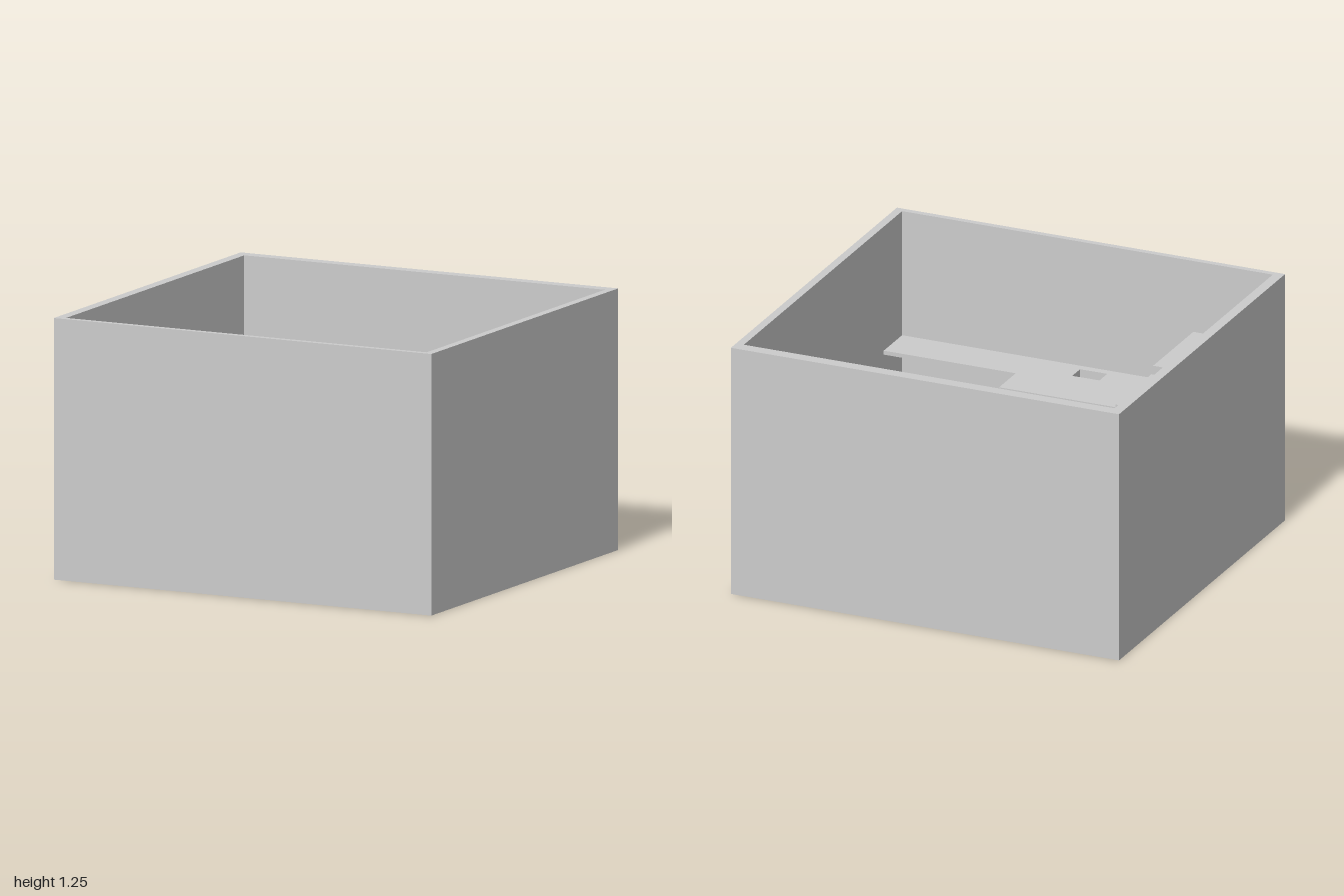
import * as THREE from 'three';

const material = new THREE.MeshStandardMaterial({ color: 0xcccccc, flatShading: true });

function trace(path, x0, x1, z0, z1) {
  path.moveTo(x0, -z1);
  path.lineTo(x1, -z1);
  path.lineTo(x1, -z0);
  path.lineTo(x0, -z0);
  path.closePath();
  return path;
}

// Horizontal slab between y0 and y1, with optional rectangular holes [x0, x1, z0, z1]
function slab(name, [x0, x1], [z0, z1], [y0, y1], holes = []) {
  const shape = trace(new THREE.Shape(), x0, x1, z0, z1);
  for (const hole of holes) shape.holes.push(trace(new THREE.Path(), ...hole));
  const geometry = new THREE.ExtrudeGeometry(shape, { depth: y1 - y0, bevelEnabled: false });
  geometry.rotateX(-Math.PI / 2).translate(0, y0, 0);
  const mesh = new THREE.Mesh(geometry, material);
  mesh.name = name;
  return mesh;
}

export function createModel() {
  const room = new THREE.Group();
  room.name = 'room';

  // Shell: four walls around a floor
  const inner = [-0.95, 0.96, -0.89, 0.92];
  room.add(
    slab('walls', [-1, 1], [-0.95, 0.95], [0, 1.25], [inner]),
    slab('floor', [-0.95, 0.96], [-0.89, 0.92], [0, 0.05]),
  );

  // Desk along the side wall with a narrow slot
  room.add(slab('desk', [-0.95, -0.635], [-0.89, 0.25], [0.6, 0.62],
    [[-0.945, -0.775, -0.72, -0.645]]));

  // Two-tier stand on the desk
  const stand = new THREE.Group();
  stand.name = 'stand';
  const depth = [-0.95, -0.675];
  stand.add(
    slab('standShelf', depth, [-0.47, 0.14], [0.755, 0.77], [[-0.83, -0.74, -0.11, -0.05]]),
    slab('standTop', depth, [-0.27, 0.14], [0.97, 0.99]),
    slab('standBackPanel', depth, [-0.47, -0.455], [0.62, 0.755]),
    slab('standFrontPanel', depth, [0.125, 0.14], [0.62, 0.755]),
    slab('standTopPanel', [-0.95, -0.84], [0.125, 0.14], [0.77, 0.97]),
    slab('standTopPost', [-0.69, -0.675], [0.125, 0.14], [0.77, 0.97]),
  );
  room.add(stand);

  // Tall cabinet beside the desk
  room.add(slab('tallCabinet', [-0.95, -0.635], [0.25, 0.71], [0.05, 0.985]));

  // Counter along the front wall, deeper and thicker around the basin
  const counter = new THREE.Group();
  counter.name = 'counter';
  counter.add(
    slab('counterEnd', [-0.77, -0.635], [0.71, 0.92], [0.6, 0.62]),
    slab('counterTop', [-0.635, 0.28], [0.52, 0.92], [0.58, 0.62], [[-0.115, 0.025, 0.79, 0.88]]),
    slab('counterBody', [-0.635, 0.28], [0.52, 0.92], [0.48, 0.58]),
    slab('counterWing', [0.28, 0.96], [0.71, 0.92], [0.6, 0.62]),
    slab('lowerShelf', [-0.635, 0.96], [0.71, 0.92], [0.255, 0.275], [[0.4, 0.5, 0.83, 0.88]]),
  );
  room.add(counter);

  return room;
}
